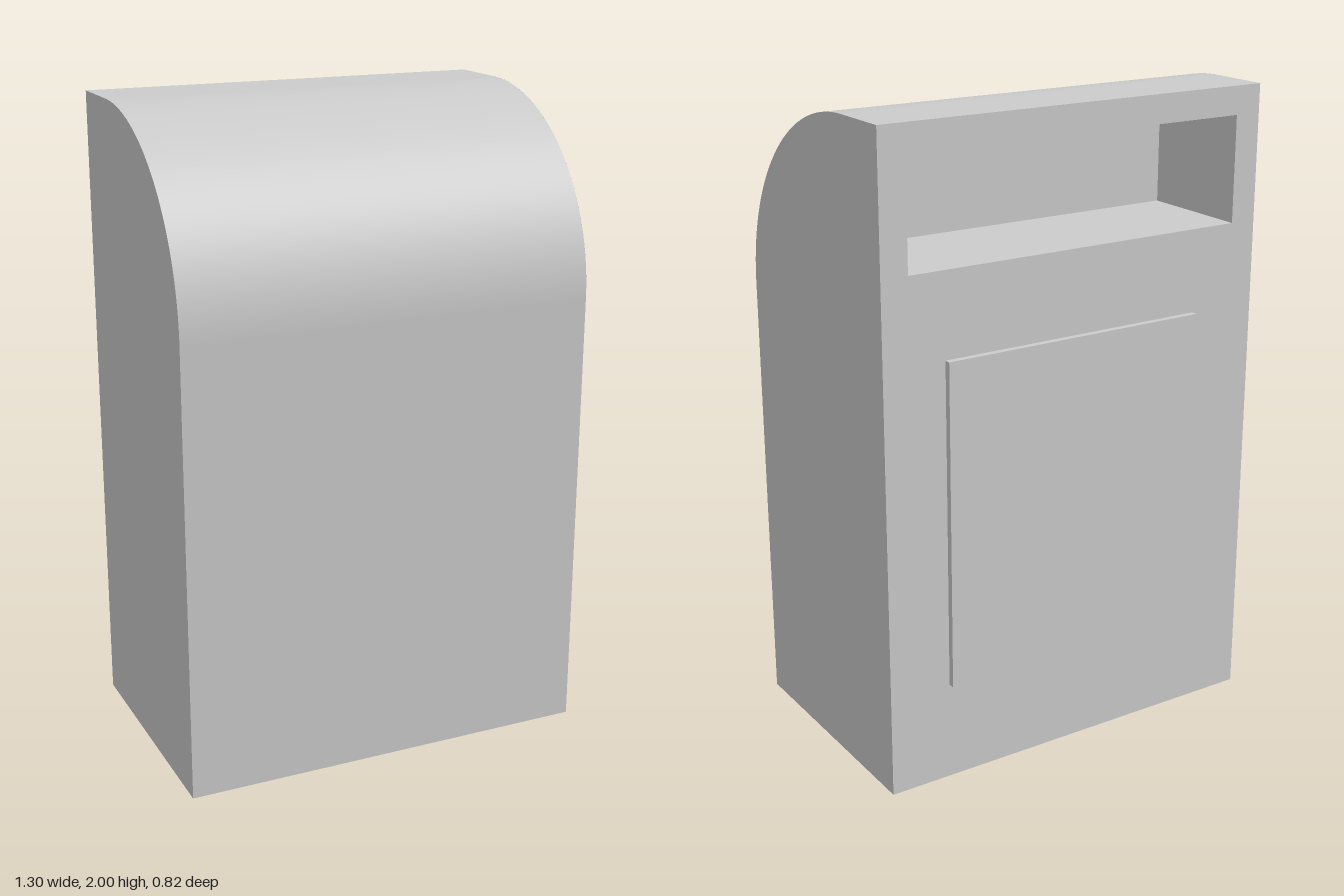
import * as THREE from 'three';

const W = 0.65, FRONT = 0.41, BACK = -0.39, HEIGHT = 2, R = 0.6;
const material = new THREE.MeshStandardMaterial({ color: 0xcccccc, side: THREE.DoubleSide });

function createProfile() {
  // Side outline: x is depth (front positive), y is height
  const s = new THREE.Shape();
  s.moveTo(BACK, 0);
  s.lineTo(FRONT, 0);
  s.lineTo(FRONT, HEIGHT - R);
  s.absarc(FRONT - R, HEIGHT - R, R, 0, Math.PI / 2, false);
  s.lineTo(BACK, HEIGHT);
  s.closePath();
  return s;
}

function createCover() {
  // Front wall, rounded shoulder and flat top as one smooth strip
  const rows = [[FRONT, 0, 1, 0]]; // z, y, normal z, normal y
  const steps = 32;
  for (let i = 0; i <= steps; i++) {
    const a = (i / steps) * Math.PI / 2, c = Math.cos(a), s = Math.sin(a);
    rows.push([FRONT - R + R * c, HEIGHT - R + R * s, c, s]);
  }
  rows.push([BACK, HEIGHT, 0, 1]);
  const pos = [], nor = [], idx = [];
  rows.forEach(([z, y, nz, ny], i) => {
    pos.push(-W, y, z, W, y, z);
    nor.push(0, ny, nz, 0, ny, nz);
    if (i > 0) {
      const a = 2 * (i - 1);
      idx.push(a, a + 1, a + 3, a, a + 3, a + 2);
    }
  });
  const g = new THREE.BufferGeometry();
  g.setAttribute('position', new THREE.Float32BufferAttribute(pos, 3));
  g.setAttribute('normal', new THREE.Float32BufferAttribute(nor, 3));
  g.setIndex(idx);
  return g;
}

function rectangle(target, x0, y0, x1, y1) {
  target.moveTo(x0, y0);
  target.lineTo(x1, y0);
  target.lineTo(x1, y1);
  target.lineTo(x0, y1);
  target.closePath();
  return target;
}

export function createModel() {
  const model = new THREE.Group();
  model.name = 'dropBox';
  const add = (name, geometry, x = 0, y = 0, z = 0) => {
    const mesh = new THREE.Mesh(geometry, material);
    mesh.name = name;
    mesh.position.set(x, y, z);
    model.add(mesh);
    return mesh;
  };

  // Hollow shell, open at the bottom
  add('roundedCover', createCover());
  for (const side of [1, -1]) {
    const g = new THREE.ShapeGeometry(createProfile(), 32);
    if (side < 0) g.rotateY(Math.PI).scale(-1, 1, 1); // face the other way
    g.rotateY(-Math.PI / 2);
    // The turned outline faces -x; the mirrored one needs its winding reversed
    if (side > 0) {
      const index = Array.from(g.index.array).reverse();
      g.setIndex(index);
      g.computeVertexNormals();
    } else {
      // rotateY + scale only mirrors z, so restore outward facing
      g.computeVertexNormals();
      if (g.attributes.normal.getX(0) > 0) {
        g.setIndex(Array.from(g.index.array).reverse());
        g.computeVertexNormals();
      }
    }
    add(side > 0 ? 'leftSide' : 'rightSide', g, side * W, 0, 0);
  }

  // Back wall with the slot opening
  const slotW = 0.565, slotLow = 1.585, slotHigh = 1.913, slotEnd = -0.02;
  const wall = rectangle(new THREE.Shape(), -W, 0, W, HEIGHT);
  wall.holes.push(rectangle(new THREE.Path(), -slotW, slotLow, slotW, slotHigh));
  add('backWall', new THREE.ShapeGeometry(wall).rotateY(Math.PI), 0, 0, BACK);

  // Slot recess: a box without its outer (-z) face
  const recess = new THREE.BoxGeometry(2 * slotW, slotHigh - slotLow, slotEnd - BACK);
  recess.setIndex(Array.from(recess.index.array).slice(0, 30));
  add('slotRecess', recess, 0, (slotLow + slotHigh) / 2, (slotEnd + BACK) / 2);

  // Raised door panel, slightly off centre
  add('doorPanel', new THREE.BoxGeometry(0.875, 1.015, 0.02), 0.0135, 0.818, BACK - 0.01);

  return model;
}
